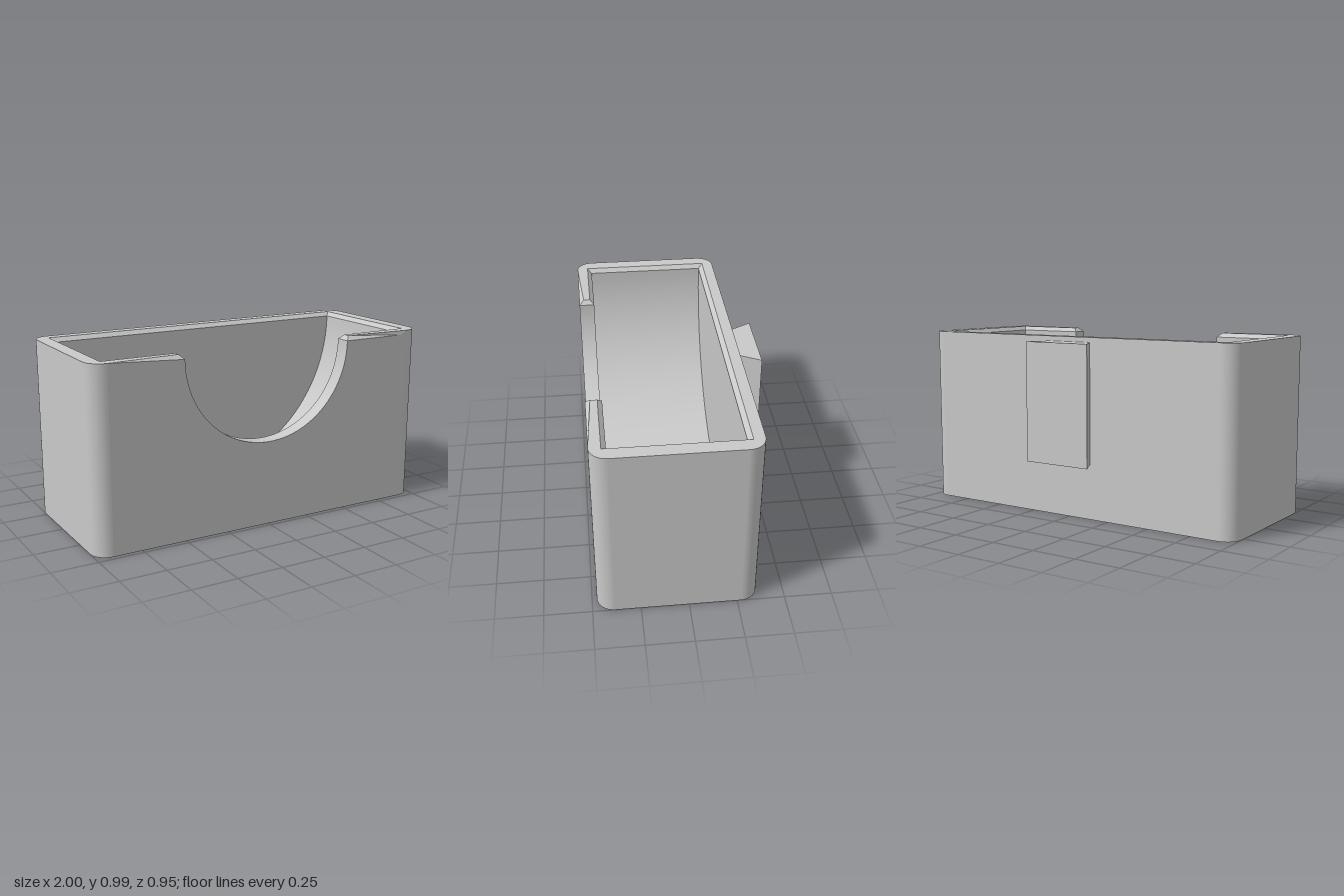
import * as THREE from 'three';
import { mergeGeometries } from 'three/addons/utils/BufferGeometryUtils.js';

const H = 0.985, LOW = 0.962;          // rim height, foot of the rim chamfers
const FRONT = 0.475, BACK = -0.36, R = 0.09;
const CAV = 0.902, CAV_F = 0.39, CAV_B = -0.276; // half-round cavity
const RIM = 0.923, RIM_F = 0.414, RIM_B = -0.3;  // opening at the top of the rim
const NOTCH = 0.497;

// Surface between two rows of points; faces (along the row) x (from a to b)
function loft(a, b) {
  const n = a.length, index = [];
  for (let i = 0; i < n - 1; i++) index.push(i, i + 1, n + i, i + 1, n + i + 1, n + i);
  const g = new THREE.BufferGeometry();
  g.setAttribute('position', new THREE.Float32BufferAttribute([...a, ...b].flat(), 3));
  g.setIndex(index);
  g.computeVertexNormals();
  return g;
}

const mirrorRow = (row) => row.map(([x, y, z]) => [-x, y, z]).reverse();
const pair = (a, b) => [loft(a, b), loft(mirrorRow(a), mirrorRow(b))];

function flat(points) {
  return new THREE.ShapeGeometry(new THREE.Shape(points.map(([x, y]) => new THREE.Vector2(x, y))));
}

// Lower half circle from left to right
function halfCircle(r, steps) {
  return Array.from({ length: steps + 1 }, (_, i) => {
    const t = (i / steps) * Math.PI;
    return [-r * Math.cos(t), LOW - r * Math.sin(t)];
  });
}

// Rounded outline as [x, z], from the front right corner round the back to the front left
function outline() {
  const pts = [];
  const corners = [[1, 1], [1, -1], [-1, -1], [-1, 1]];
  corners.forEach(([sx, sz], c) => {
    const cz = sz > 0 ? FRONT - R : BACK + R;
    for (let i = 0; i <= 10; i++) {
      const a = (c + i / 10) * Math.PI / 2;
      pts.push([sx * (1 - R) + R * Math.sin(a), cz + R * Math.cos(a)]);
    }
  });
  return pts;
}

export function createModel() {
  const group = new THREE.Group();
  const grey = new THREE.MeshStandardMaterial({ color: 0xc9c9c9 });
  grey.name = 'grey plastic';
  const add = (name, geometry) => {
    const mesh = new THREE.Mesh(geometry, grey);
    mesh.name = name;
    group.add(mesh);
  };

  const edge = outline();
  const bowl = halfCircle(CAV, 64);
  const notch = halfCircle(NOTCH, 48);
  const notchBack = [...notch].reverse();
  const atZ = (row, z) => row.map(([x, y]) => [x, y, z]);
  const atY = (row, y) => row.map(([x, z]) => [x, y, z]);

  // Outside of the box
  add('outerWall', loft(atY(edge, 0), atY(edge, H)));
  add('base', flat(edge).rotateX(Math.PI / 2));
  add('frontFace', flat([
    [R - 1, 0], [1 - R, 0], [1 - R, H], [0.87, LOW], ...notchBack, [R - 1, H],
  ]).translate(0, 0, FRONT));

  // Half-round cavity with its end walls
  add('cavityFloor', loft(atZ(bowl, CAV_F), atZ(bowl, CAV_B)));
  add('cavityBackWall', flat(bowl).translate(0, 0, CAV_B));
  add('cavityFrontWall', flat([...bowl, ...notchBack]).rotateY(Math.PI).translate(0, 0, CAV_F));
  add('thumbNotch', loft(atZ(notch, FRONT), atZ(notch, CAV_F)));

  // Flat top of the rim, open at the notch
  const rim = [
    ...edge, [-0.52, 0.45], [-0.52, RIM_F], [-RIM, RIM_F], [-RIM, RIM_B],
    [RIM, RIM_B], [RIM, RIM_F], [0.52, RIM_F], [0.52, 0.45],
  ];
  add('rimTop', flat(rim.map(([x, z]) => [x, -z])).rotateX(-Math.PI / 2).translate(0, H, 0));

  // Chamfers inside the rim and beside the notch
  add('rimChamfer', mergeGeometries([
    loft([[-CAV, LOW, CAV_B], [CAV, LOW, CAV_B]], [[-RIM, H, RIM_B], [RIM, H, RIM_B]]),
    ...pair([[CAV, LOW, CAV_B], [CAV, LOW, CAV_F]], [[RIM, H, RIM_B], [RIM, H, RIM_F]]),
    ...pair([[CAV, LOW, CAV_F], [NOTCH, LOW, CAV_F]], [[RIM, H, RIM_F], [0.52, H, RIM_F]]),
    ...pair([[NOTCH, LOW, CAV_F], [NOTCH, LOW, FRONT]], [[0.52, H, RIM_F], [0.52, H, 0.45]]),
  ]));

  // Tapering chamfers along the front edge, folded once on the left
  const low = [NOTCH, LOW, FRONT], fold = [0.87, LOW, FRONT];
  const end = [1 - R, H, FRONT], top = [0.52, H, 0.45];
  add('frontChamfer', mergeGeometries([
    loft([low, fold], [top, fold]),
    loft([fold, end], [top, end]),
    loft(mirrorRow([low, end]), mirrorRow([top, end])),
  ]));

  // Dovetail mounting rail on the back
  const rail = new THREE.Shape([[-0.2, 0.475], [0.2, 0.475], [0.135, 0.355], [-0.135, 0.355]]
    .map(([x, y]) => new THREE.Vector2(x, y)));
  add('backRail', new THREE.ExtrudeGeometry(rail, { depth: 0.655, bevelEnabled: false })
    .rotateX(-Math.PI / 2).translate(0, 0.303, 0));

  return group;
}
